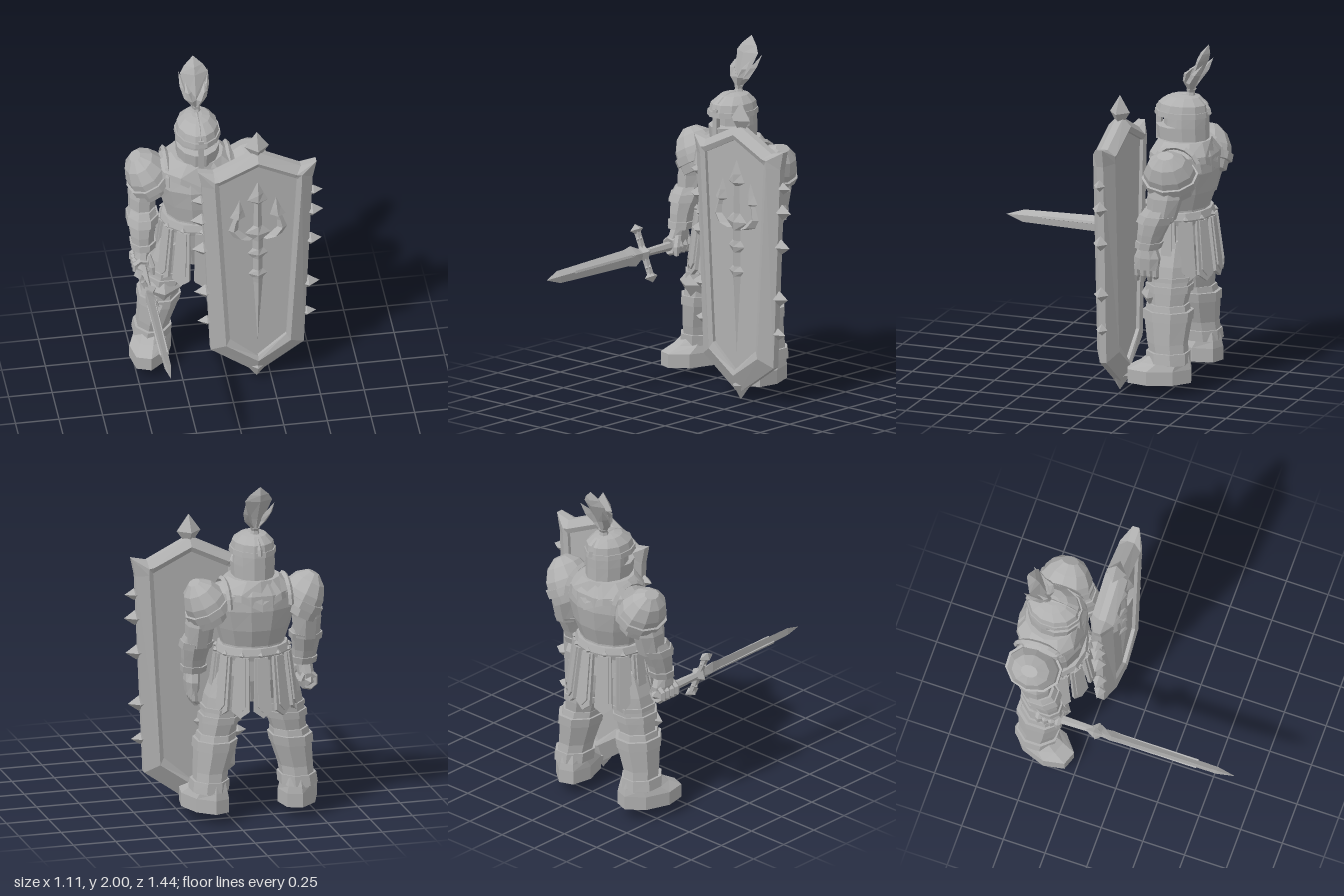
import * as THREE from 'three';

const steel = new THREE.MeshStandardMaterial({ color: 0xb0b0b0 });
steel.name = 'steel';
const CX = -0.13; // mirror plane of the body

// flat-shaded mesh
function add(parent, name, geo) {
  const g = geo.index ? geo.toNonIndexed() : geo;
  g.computeVertexNormals();
  const m = new THREE.Mesh(g, steel);
  m.name = name;
  parent.add(m);
  return m;
}

// closed skin through rings of points, with fan caps
function skin(rings) {
  const pos = [];
  const tri = (...p) => p.forEach(v => pos.push(v.x, v.y, v.z));
  const n = rings[0].length;
  for (let i = 0; i + 1 < rings.length; i++) {
    for (let j = 0; j < n; j++) {
      const k = (j + 1) % n, a = rings[i], b = rings[i + 1];
      tri(a[j], a[k], b[k]);
      tri(a[j], b[k], b[j]);
    }
  }
  const cap = (r, flip) => {
    const c = r.reduce((s, p) => s.add(p), new THREE.Vector3()).divideScalar(n);
    for (let j = 0; j < n; j++) {
      const k = (j + 1) % n;
      flip ? tri(c, r[k], r[j]) : tri(c, r[j], r[k]);
    }
  };
  cap(rings[0], true);
  cap(rings[rings.length - 1], false);
  const g = new THREE.BufferGeometry();
  g.setAttribute('position', new THREE.Float32BufferAttribute(pos, 3));
  return g;
}

// rising elliptical rings [x, y, z, rx, rz]; move() may shift a point
function loft(rows, n = 8, phase = 0, move = null) {
  return skin(rows.map(([x, y, z, rx, rz], i) => Array.from({ length: n }, (_, j) => {
    const a = phase + j / n * Math.PI * 2;
    const p = new THREE.Vector3(x + rx * Math.cos(a), y, z - rz * Math.sin(a));
    if (move) move(p, i);
    return p;
  })));
}

function gem(parent, name, x, y, z, sx, sy, sz) {
  const m = add(parent, name, new THREE.OctahedronGeometry(1).scale(sx, sy, sz));
  m.position.set(x, y, z);
  return m;
}

function group(parent, name) {
  const g = new THREE.Group();
  g.name = name;
  parent.add(g);
  return g;
}

function buildHead(root) {
  const head = group(root, 'head');
  // helmet, with rings 3 and 4 set back at the front for the eye slot
  add(head, 'helmet', loft([
    [CX, 1.36, -0.5, 0.115, 0.135], [CX, 1.44, -0.5, 0.122, 0.15], [CX, 1.515, -0.495, 0.125, 0.155],
    [CX, 1.52, -0.495, 0.125, 0.155], [CX, 1.575, -0.495, 0.122, 0.155], [CX, 1.58, -0.495, 0.128, 0.158],
    [CX, 1.645, -0.5, 0.115, 0.145], [CX, 1.685, -0.51, 0.075, 0.09], [CX, 1.695, -0.51, 0.03, 0.04],
  ], 12, Math.PI / 12, (p, i) => {
    if ((i === 3 || i === 4) && p.z > -0.46) p.z -= 0.05;
  }));
  add(head, 'browBand', loft([[CX, 1.575, -0.495, 0.133, 0.163], [CX, 1.605, -0.495, 0.13, 0.16]], 12, Math.PI / 12));
  const bar = (n, w, h, d, y, z) => add(head, n, new THREE.BoxGeometry(w, h, d)).position.set(CX, y, z);
  bar('noseBar', 0.03, 0.2, 0.03, 1.52, -0.355);
  const crest = new THREE.TorusGeometry(0.135, 0.014, 4, 10, Math.PI).rotateY(Math.PI / 2).scale(1, 0.75, 1.12);
  add(head, 'crestRidge', crest).position.set(CX, 1.59, -0.505);
  // plume
  add(head, 'plumeSocket', loft([[CX, 1.67, -0.54, 0.035, 0.035], [CX, 1.71, -0.545, 0.022, 0.022], [CX, 1.73, -0.55, 0.03, 0.03]], 6));
  add(head, 'plumeFeather', loft([[CX, 1.7, -0.55, 0.012, 0.012], [CX, 1.79, -0.57, 0.045, 0.025],
    [CX, 1.91, -0.62, 0.08, 0.035], [CX, 1.95, -0.635, 0.055, 0.028], [CX, 2, -0.655, 0, 0]], 4));
  for (const s of [-1, 1]) {
    add(head, 'sideFeather', loft([[CX, 1.71, -0.545, 0.01, 0.01], [CX + s * 0.04, 1.77, -0.56, 0.025, 0.03],
      [CX + s * 0.065, 1.83, -0.6, 0.02, 0.03], [CX + s * 0.085, 1.9, -0.65, 0, 0]], 4));
    add(head, 'frontFeather', loft([[CX, 1.71, -0.54, 0.01, 0.01], [CX + s * 0.025, 1.78, -0.525, 0.025, 0.02],
      [CX + s * 0.045, 1.83, -0.54, 0.018, 0.02], [CX + s * 0.055, 1.87, -0.58, 0, 0]], 4));
  }
}

function buildTorso(root) {
  const torso = group(root, 'torso');
  add(torso, 'breastplate', loft([
    [CX, 0.96, -0.49, 0.19, 0.165], [CX, 1.05, -0.49, 0.185, 0.16], [CX, 1.15, -0.5, 0.215, 0.185],
    [CX, 1.27, -0.505, 0.25, 0.2], [CX, 1.36, -0.515, 0.24, 0.185], [CX, 1.43, -0.52, 0.15, 0.14],
  ], 12, Math.PI / 12));
  // collar dipping to a point at front and back
  add(torso, 'collar', loft([[CX, 1.33, -0.51, 0.24, 0.2], [CX, 1.37, -0.51, 0.235, 0.195], [CX, 1.44, -0.51, 0.15, 0.155]],
    12, 0, (p, i) => { if (i < 2 && Math.abs(p.x - CX) < 0.02) p.y -= 0.06; }));
  add(torso, 'hips', loft([[CX, 0.72, -0.5, 0.14, 0.13], [CX, 0.85, -0.5, 0.2, 0.165], [CX, 0.98, -0.49, 0.19, 0.165]], 10));
  add(torso, 'belt', loft([[CX, 0.97, -0.49, 0.21, 0.182], [CX, 1.0, -0.49, 0.218, 0.19], [CX, 1.04, -0.49, 0.205, 0.178]], 12));
  // hanging skirt plates, each with a raised inner panel
  const plate = (w, h, d) => {
    const s = new THREE.Shape([[-0.75 * w, 0], [-w, -h], [0, -h - 0.04], [w, -h], [0.75 * w, 0]].map(p => new THREE.Vector2(...p)));
    return new THREE.ExtrudeGeometry(s, { depth: d, bevelEnabled: false });
  };
  for (let i = 0; i < 12; i++) {
    const a = i / 12 * Math.PI * 2, side = Math.abs(Math.sin(a));
    const holder = group(torso, 'skirtPlate');
    holder.position.set(CX + 0.195 * Math.sin(a), 0.99, -0.49 + 0.17 * Math.cos(a));
    holder.rotation.set(-0.13, a, 0, 'YXZ');
    const h = side > 0.9 ? 0.22 : 0.31;
    add(holder, 'plate', plate(0.052, h, 0.02));
    add(holder, 'platePanel', plate(0.032, h - 0.03, 0.03));
    gem(torso, 'beltStud', CX + 0.215 * Math.sin(a), 1.005, -0.49 + 0.187 * Math.cos(a), 0.02, 0.02, 0.02);
  }
}

function buildLeg(root, s) {
  const leg = group(root, s > 0 ? 'leftLeg' : 'rightLeg');
  const X = d => CX + s * d;
  const part = (n, rows, sides = 8) => add(leg, n, loft(rows.map(([d, ...r]) => [X(d), ...r]), sides, Math.PI / 8));
  part('thigh', [[0.215, 0.5, -0.49, 0.1, 0.11], [0.19, 0.62, -0.49, 0.115, 0.13], [0.16, 0.74, -0.49, 0.122, 0.135], [0.11, 0.88, -0.49, 0.12, 0.13]]);
  part('thighBand', [[0.195, 0.59, -0.49, 0.125, 0.138], [0.188, 0.63, -0.49, 0.128, 0.14]]);
  part('thighTrim', [[0.182, 0.655, -0.49, 0.124, 0.138], [0.178, 0.68, -0.49, 0.126, 0.14]]);
  part('greave', [[0.262, 0.18, -0.52, 0.095, 0.11], [0.25, 0.3, -0.5, 0.1, 0.118], [0.225, 0.43, -0.495, 0.118, 0.138], [0.215, 0.52, -0.49, 0.11, 0.125]]);
  part('greaveTop', [[0.228, 0.43, -0.495, 0.125, 0.145], [0.22, 0.485, -0.495, 0.128, 0.148]]);
  part('ankleBand', [[0.262, 0.19, -0.51, 0.115, 0.128], [0.256, 0.25, -0.505, 0.112, 0.128]]);
  gem(leg, 'kneeGuard', X(0.21), 0.56, -0.4, 0.11, 0.12, 0.075);
  // boot turned outward
  const boot = group(leg, 'boot');
  boot.position.set(X(0.275), 0, -0.46);
  boot.rotation.y = s * 0.35;
  add(boot, 'sole', loft([[0, 0.07, 0, 0.115, 0.195], [0, 0.15, 0, 0.115, 0.195], [0, 0.19, -0.035, 0.1, 0.15], [0, 0.24, -0.06, 0.085, 0.11]], 8, Math.PI / 8));
}

function buildArm(root, s) {
  const arm = group(root, s > 0 ? 'leftArm' : 'rightArm');
  const X = d => CX + s * d;
  const part = (n, rows, sides = 8) => add(arm, n, loft(rows.map(([d, ...r]) => [X(d), ...r]), sides, Math.PI / 8));
  part('upperArm', [[0.32, 1.04, -0.49, 0.075, 0.085], [0.315, 1.17, -0.51, 0.082, 0.105], [0.28, 1.33, -0.52, 0.08, 0.11]]);
  part('forearm', [[0.325, 0.86, -0.41, 0.062, 0.062], [0.328, 0.95, -0.43, 0.072, 0.08], [0.322, 1.06, -0.465, 0.088, 0.1], [0.32, 1.1, -0.48, 0.075, 0.09]]);
  part('elbowCuff', [[0.325, 1.02, -0.45, 0.094, 0.108], [0.32, 1.065, -0.47, 0.096, 0.11]]);
  part('wristCuff', [[0.325, 0.865, -0.41, 0.074, 0.076], [0.325, 0.905, -0.42, 0.078, 0.082]]);
  part('palm', [[0.335, 0.74, -0.405, 0.035, 0.075], [0.335, 0.81, -0.41, 0.045, 0.08], [0.33, 0.87, -0.41, 0.045, 0.055]]);
  // hanging fingers on the shield hand, a closed grip on the sword hand
  for (let i = 0; i < 4; i++) {
    const z = -0.347 - i * 0.038;
    if (s > 0) part('finger', [[0.31, 0.66 + (i === 3 ? 0.02 : 0), z + 0.01, 0.015, 0.014], [0.33, 0.7, z, 0.02, 0.018], [0.335, 0.76, z, 0.022, 0.019]], 6);
    else add(arm, 'finger', new THREE.TorusGeometry(0.042, 0.019, 5, 7)).position.set(X(0.34), 0.765, z);
  }
  part('thumb', [[0.28, 0.72, -0.33, 0.014, 0.016], [0.285, 0.77, -0.335, 0.02, 0.02], [0.305, 0.83, -0.37, 0.02, 0.02]], 6);
  // layered shoulder guard, tilted outward
  const guard = group(arm, 'shoulderGuard');
  guard.position.set(X(0.27), 1.27, -0.525);
  guard.rotation.z = -s * 0.5;
  add(guard, 'dome', loft([[0, -0.01, 0, 0.128, 0.155], [0, 0.06, 0, 0.122, 0.148], [0, 0.13, 0, 0.09, 0.11], [0, 0.175, 0, 0.035, 0.05]], 10));
  add(guard, 'rim', loft([[0, -0.025, 0, 0.138, 0.165], [0, 0.02, 0, 0.14, 0.166]], 10));
  add(guard, 'lowerPlate', loft([[s * 0.02, -0.075, 0, 0.105, 0.135], [s * 0.01, 0, 0, 0.118, 0.145]], 10));
  // raised trim beside the neck
  const trim = add(arm, 'shoulderTrim', new THREE.TorusGeometry(0.14, 0.016, 4, 8, Math.PI).rotateY(Math.PI / 2));
  trim.position.set(X(0.18), 1.29, -0.525);
}

function buildShield(root) {
  const shield = group(root, 'shield');
  shield.position.x = 0.17;
  // half outlines, mirrored, counterclockwise from the front
  const ring = (half, z) => {
    const right = half.slice(1, -1);
    const pts = [half[0], ...right.map(([x, y]) => [-x, y]), half[half.length - 1], ...right.slice().reverse()];
    return pts.map(([x, y]) => new THREE.Vector3(x, y, z));
  };
  const outer = [[0, 1.61], [0.25, 1.485], [0.34, 1.505], [0.318, 1.4], [0.267, 0.23], [0, 0.04]];
  const crest = [[0, 1.56], [0.22, 1.455], [0.25, 1.45], [0.25, 1.41], [0.185, 0.28], [0, 0.15]];
  const inner = [[0, 1.53], [0.205, 1.43], [0.225, 1.42], [0.222, 1.39], [0.162, 0.32], [0, 0.18]];
  add(shield, 'shieldBody', skin([ring(inner, -0.265), ring(inner, -0.285), ring(crest, -0.297), ring(outer, -0.25),
    ring(outer, -0.21), ring(crest, -0.163), ring(inner, -0.175), ring(inner, -0.195)]));
  gem(shield, 'topSpike', 0, 1.64, -0.23, 0.07, 0.1, 0.06);
  gem(shield, 'bottomSpike', 0, 0.09, -0.23, 0.07, 0.09, 0.06);
  for (const s of [-1, 1]) {
    for (const [y, r] of [[1.29, 0.035], [1.15, 0.045], [0.945, 0.045], [0.64, 0.045], [0.43, 0.035]]) {
      const edge = 0.267 + (y - 0.23) * 0.0436;
      gem(shield, 'edgeSpike', s * (edge + 0.01), y, -0.23, 0.055 + (r > 0.04 ? 0.01 : 0), r, r);
    }
  }
  // trident relief
  const T = -0.195;
  const relief = (n, rows) => add(shield, n, loft(rows.map(([x, y, r]) => [x, y, T, r, Math.min(0.032, r * 0.8)]), 4));
  relief('tridentShaft', [[0, 0.28, 0], [0.002, 0.7, 0.026], [0, 0.73, 0.03], [0, 0.76, 0.055], [0, 0.79, 0.028],
    [0, 0.87, 0.028], [0, 0.905, 0.06], [0, 0.94, 0.03], [0, 1.0, 0.03], [0, 1.05, 0.075], [0, 1.1, 0.025], [0, 1.28, 0.02]]);
  relief('middleProng', [[0, 1.26, 0.02], [0, 1.28, 0.06], [0, 1.33, 0.035], [0, 1.41, 0]]);
  for (const s of [-1, 1]) {
    relief('sideProng', [[s * 0.05, 1.01, 0.025], [s * 0.1, 1.03, 0.04], [s * 0.14, 1.08, 0.028], [s * 0.13, 1.13, 0.02], [s * 0.11, 1.19, 0.018]]);
    relief('sideProngTip', [[s * 0.115, 1.155, 0.012], [s * 0.115, 1.17, 0.045], [s * 0.108, 1.22, 0.025], [s * 0.105, 1.29, 0]]);
  }
}

function buildSword(root) {
  const sword = group(root, 'sword');
  sword.position.set(-0.47, 0.765, -0.12);
  sword.rotation.set(Math.PI / 2, 0, 1.98, 'ZYX');
  add(sword, 'blade', loft([[0, 0, 0, 0.03, 0.025], [0, 0.04, 0, 0.035, 0.025], [0, 0.09, 0, 0.06, 0.03], [0, 0.15, 0, 0.048, 0.026],
    [0, 0.72, 0, 0.036, 0.02], [0, 0.825, 0, 0, 0]], 4));
  add(sword, 'fuller', new THREE.BoxGeometry(0.014, 0.5, 0.052)).position.y = 0.35;
  add(sword, 'grip', loft([[0, -0.33, 0, 0.022, 0.022], [0, -0.2, 0, 0.027, 0.027], [0, -0.03, 0, 0.022, 0.022]], 6));
  gem(sword, 'pommel', 0, -0.35, 0, 0.04, 0.04, 0.035);
  gem(sword, 'guardCore', 0, 0, 0, 0.06, 0.06, 0.05);
  add(sword, 'guardBar', new THREE.BoxGeometry(0.27, 0.028, 0.026));
  for (const s of [-1, 1]) {
    gem(sword, 'guardEnd', s * 0.14, 0, 0, 0.033, 0.055, 0.03);
    gem(sword, 'guardKnot', s * 0.085, 0, 0, 0.025, 0.028, 0.025);
  }
}

export function createModel() {
  const root = new THREE.Group();
  root.name = 'armoredKnight';
  buildHead(root);
  buildTorso(root);
  for (const s of [-1, 1]) {
    buildLeg(root, s);
    buildArm(root, s);
  }
  buildShield(root);
  buildSword(root);
  return root;
}
